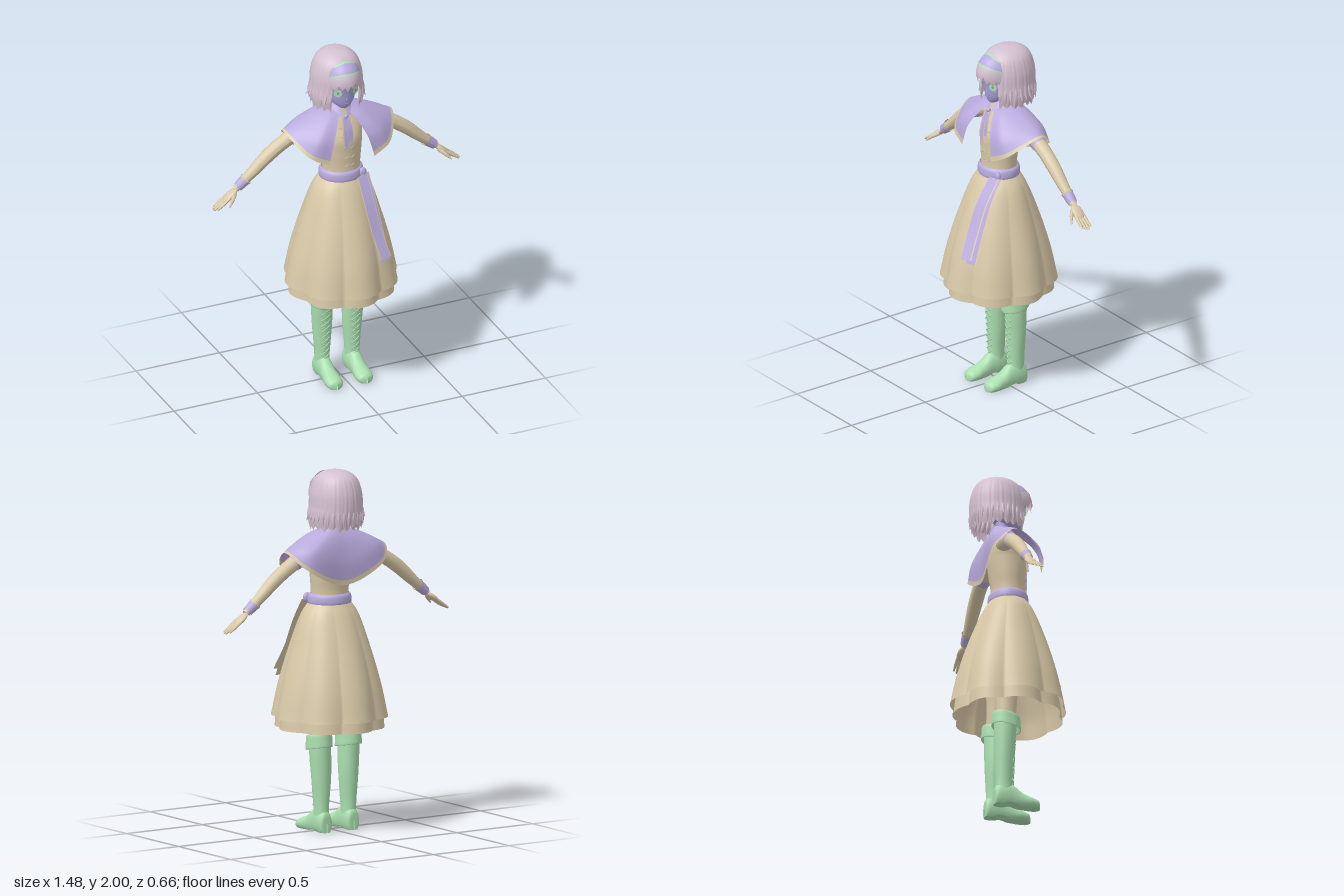
import * as THREE from 'three';
import { ParametricGeometry } from 'three/addons/geometries/ParametricGeometry.js';

const mat = (name, color) => new THREE.MeshStandardMaterial({ name, color, side: THREE.DoubleSide });
const V = (x, y, z) => new THREE.Vector3(x, y, z);
const spline = (pts) => new THREE.CatmullRomCurve3(pts);

export function createModel() {
  const model = new THREE.Group();
  const cloth = mat('tan cloth', 0xd9c9a8);
  const violet = mat('violet cloth', 0xb9abdd);
  const skin = mat('face violet', 0xaba2da);
  const hairMat = mat('pale pink hair', 0xd5c1d1);
  const green = mat('soft green', 0xabdfb0);
  const eyeDark = mat('dark green pupil', 0x6fa678);

  const add = (name, geo, material) => {
    const m = new THREE.Mesh(geo, material);
    m.name = name;
    model.add(m);
    return m;
  };
  const surface = (fn, nu, nv) =>
    new ParametricGeometry((u, v, t) => t.copy(fn(u, v)), nu, nv);

  // rings [y, rx, rz, cx, cz] joined smoothly; angle 0 faces the front
  const loft = (rings, nu = 32, nv = 24, mod = () => 1, gap = 0) => {
    const size = spline(rings.map((r) => V(r[1], r[0], r[2])));
    const mid = spline(rings.map((r) => V(r[3] || 0, r[0], r[4] || 0)));
    return surface((u, v) => {
      const a = gap + u * (2 * Math.PI - 2 * gap);
      const s = size.getPoint(v), c = mid.getPoint(v), k = mod(a, v);
      return V(c.x + s.x * k * Math.sin(a), s.y, c.z + s.z * k * Math.cos(a));
    }, nu, nv);
  };

  // lowers the front and lifts the back
  const slant = (geo, k, z0) => {
    const p = geo.attributes.position;
    for (let i = 0; i < p.count; i++) p.setY(i, p.getY(i) - k * (p.getZ(i) - z0));
    geo.computeVertexNormals();
    return geo;
  };

  // round tube with a radius that changes along the path
  const limb = (pts, radii, n = 16, sides = 10) => {
    const path = spline(pts);
    const geo = new THREE.TubeGeometry(path, n, 1, sides, false);
    const p = geo.attributes.position, rad = spline(radii.map((r, i) => V(i, r, 0)));
    for (let i = 0; i < p.count; i++) {
      const t = Math.floor(i / (sides + 1)) / n, c = path.getPointAt(t);
      const v = V().fromBufferAttribute(p, i).sub(c).multiplyScalar(rad.getPoint(t).y).add(c);
      p.setXYZ(i, v.x, v.y, v.z);
    }
    geo.computeVertexNormals();
    return geo;
  };

  // flat band following a path, with a wider tan edging just behind it
  const ribbon = (name, pts, w, tilt = 0) => {
    const path = spline(pts);
    const strip = (hw, dz) => surface((u, v) => {
      const c = path.getPoint(v), s = (u - 0.5) * 2 * hw;
      return V(c.x + s, c.y + s * 0.1, c.z + dz + s * tilt);
    }, 4, 20);
    add(name, strip(w, 0), violet);
    add(name + 'Edging', strip(w + 0.005, -0.004), cloth);
  };

  // dress body and skirt layers
  add('bodice', loft([[1.22, 0.11, 0.1], [1.32, 0.108, 0.092], [1.42, 0.118, 0.1, 0, -0.005],
    [1.5, 0.124, 0.105, 0, -0.01], [1.57, 0.13, 0.088, 0, -0.025], [1.63, 0.09, 0.062, 0, -0.03],
    [1.67, 0.045, 0.045, 0, -0.03]]), cloth);
  const pleats = (a, v) => 1 - 0.085 * (1 - Math.abs(Math.cos(4 * a))) * v;
  add('skirt', loft([[1.27, 0.112, 0.1], [1.2, 0.162, 0.142], [1.0, 0.23, 0.225],
    [0.8, 0.286, 0.288], [0.63, 0.322, 0.325]], 128, 24, pleats), cloth);
  add('underskirt', loft([[0.8, 0.262, 0.262], [0.68, 0.29, 0.292], [0.57, 0.302, 0.306]],
    128, 8, (a) => pleats(a, 1)), cloth);
  for (const y of [1.35, 1.4, 1.46, 1.525, 1.57]) {
    const z = y > 1.55 ? 0.07 : 0.096;
    add('bodiceTie', new THREE.TubeGeometry(spline([V(-0.04, y + 0.006, z - 0.006), V(-0.018, y - 0.004, z),
      V(0, y + 0.004, z + 0.001), V(0.018, y - 0.004, z), V(0.04, y + 0.006, z - 0.006)]), 16, 0.0022, 5), cloth);
  }

  // sash, knot and hanging tails
  add('sash', loft([[1.25, 0.118, 0.106], [1.262, 0.124, 0.111], [1.3, 0.121, 0.107], [1.312, 0.11, 0.097]],
    40, 10), violet);
  const knot = add('sashKnot', new THREE.SphereGeometry(0.026, 14, 10), violet);
  knot.scale.set(0.9, 1.1, 0.6);
  knot.position.set(0.095, 1.28, 0.08);
  ribbon('sashTailFront', [V(0.085, 1.27, 0.1), V(0.088, 1.14, 0.185), V(0.102, 0.99, 0.255), V(0.127, 0.855, 0.322)], 0.029, -0.35);
  ribbon('sashTailBack', [V(0.1, 1.27, 0.09), V(0.108, 1.15, 0.163), V(0.12, 0.99, 0.23), V(0.134, 0.825, 0.293)], 0.028, -0.35);

  // shoulder cape: half rings from front opening to centre back, mirrored
  const fullRing = (half) => spline([...half.map((p) => V(...p)),
    ...half.slice(0, -1).reverse().map(([x, y, z]) => V(-x, y, z))]);
  const capeRings = [
    [[0.02, 1.665, 0.03], [0.05, 1.675, 0.01], [0.065, 1.68, -0.03], [0.045, 1.685, -0.08], [0, 1.685, -0.095]],
    [[0.055, 1.62, 0.085], [0.11, 1.635, 0.06], [0.155, 1.648, -0.04], [0.115, 1.64, -0.112], [0, 1.62, -0.13]],
    [[0.1, 1.53, 0.135], [0.185, 1.55, 0.115], [0.258, 1.6, -0.045], [0.213, 1.568, -0.143], [0, 1.5, -0.153]],
    [[0.135, 1.405, 0.15], [0.24, 1.46, 0.125], [0.325, 1.565, -0.05], [0.262, 1.483, -0.15], [0, 1.37, -0.15]],
  ].map(fullRing);
  const cape = (v0, v1, nv) => surface((u, v) =>
    spline(capeRings.map((r) => r.getPoint(u))).getPoint(v0 + (v1 - v0) * v), 72, nv);
  add('cape', cape(0, 0.93, 16), violet);
  add('capeTrim', cape(0.93, 1, 2), cloth);

  // collar and neck ribbon
  add('neck', new THREE.CylinderGeometry(0.04, 0.045, 0.1, 20).translate(0, 1.69, -0.03), skin);
  add('collar', slant(loft([[1.7, 0.046, 0.05, 0, -0.03], [1.696, 0.056, 0.058, 0, -0.028],
    [1.657, 0.078, 0.085, 0, -0.02]], 36, 6, () => 1, 0.2), 0.2, -0.03), violet);
  const bow = add('neckKnot', new THREE.SphereGeometry(0.013, 12, 8), violet);
  bow.position.set(0, 1.643, 0.07);
  ribbon('neckRibbonLong', [V(-0.005, 1.64, 0.075), V(-0.012, 1.56, 0.1), V(-0.01, 1.465, 0.112)], 0.013);
  ribbon('neckRibbonShort', [V(0.008, 1.64, 0.07), V(0.014, 1.58, 0.094), V(0.015, 1.5, 0.105)], 0.012);

  // head with tapered chin
  add('face', loft([[1.682, 0.004, 0.004, 0, 0.045], [1.695, 0.03, 0.032, 0, 0.035], [1.73, 0.065, 0.07, 0, 0.01],
    [1.79, 0.088, 0.098, 0, -0.01], [1.86, 0.096, 0.108, 0, -0.01], [1.92, 0.08, 0.09, 0, -0.01],
    [1.96, 0.01, 0.01, 0, -0.01]], 40, 30), skin);
  const nose = add('nose', new THREE.ConeGeometry(0.006, 0.025, 8), skin);
  nose.position.set(0, 1.765, 0.083);
  add('mouth', new THREE.TubeGeometry(spline([V(-0.012, 1.727, 0.077), V(0, 1.724, 0.08), V(0.012, 1.727, 0.077)]), 8, 0.0015, 5), skin);
  for (const s of [-1, 1]) {
    const eye = (name, r, z, m) => {
      const e = add(name, new THREE.CircleGeometry(r, 24), m);
      e.position.set(s * 0.053, 1.8, z);
      e.rotation.y = s * 0.5;
    };
    eye('eye', 0.023, 0.079, green);
    eye('pupil', 0.007, 0.081, eyeDark);
  }

  // fringe and headband lie on one front dome
  const dome = (yTop, yLow, grow, nu, nv) => surface((u, v) => {
    const a = (u - 0.5) * 2.5;
    const y0 = yTop - 0.022 * a * a, y1 = yLow(u) - 0.022 * a * a;
    const y = y0 + (y1 - y0) * v;
    const r = Math.sqrt(Math.max(0, 1 - ((y - 1.86) / 0.128) ** 2)) * grow;
    return V(0.104 * r * Math.sin(a), y, 0.135 * r * Math.cos(a));
  }, nu, nv);
  add('headband', dome(1.975, () => 1.925, 1.0, 28, 8), violet);
  add('headbandTopEdge', dome(1.979, () => 1.972, 1.03, 28, 2), green);
  add('headbandLowEdge', dome(1.93, () => 1.922, 1.02, 28, 2), green);
  const zigzag = (t) => Math.abs(((t % 1) + 1) % 1 - 0.5) * 2;
  add('fringe', dome(1.925, (u) => 1.82 + 0.03 * zigzag(u * 8) + 0.022 * zigzag(u * 3 + 0.2), 1.0, 72, 10), hairMat);

  // scalp and bobbed hair, open around the face
  const scalp = add('scalp', new THREE.SphereGeometry(1, 32, 20), hairMat);
  scalp.scale.set(0.115, 0.117, 0.115);
  scalp.position.set(0, 1.872, -0.045);
  const hairSize = spline([V(0.001, 2, 0.001), V(0.07, 1.986, 0.08), V(0.113, 1.95, 0.125),
    V(0.138, 1.88, 0.15), V(0.145, 1.8, 0.155), V(0.15, 1.74, 0.15), V(0.142, 1.69, 0.14)]);
  add('hair', surface((u, v) => {
    const gap = 0.6 * THREE.MathUtils.smoothstep(v, 0.16, 0.36);
    const a = gap + u * 2 * (Math.PI - gap), s = hairSize.getPoint(v);
    const k = 1 + 0.008 * v * Math.cos(26 * a) + 0.006 * v * Math.cos(41 * a);
    const drop = v ** 5 * (0.025 * zigzag(u * 17) + 0.012 * zigzag(u * 7) - 0.015);
    return V(s.x * k * Math.sin(a), s.y - drop, -0.06 + s.z * k * Math.cos(a));
  }, 160, 28), hairMat);
  let seed = 7;
  const rnd = () => (seed = (seed * 16807) % 2147483647) / 2147483647;
  for (let i = 0; i < 26; i++) {
    const a = 0.66 + (i / 25) * (2 * Math.PI - 1.32), side = Math.abs(Math.sin(a));
    const at = (r, y) => V(r * Math.sin(a), y, -0.06 + r * 1.02 * Math.cos(a));
    const out = side * rnd();
    add('hairLock', limb([at(0.137, 1.82), at(0.145, 1.76), at(0.137 + 0.035 * out, 1.675 + 0.02 * rnd() + 0.05 * out)],
      [0.003, 0.011, 0.001], 8, 6), hairMat);
  }

  for (const s of [-1, 1]) {
    // arms, sleeve bands and wrist cuffs
    const P = (x, y, z) => V(s * x, y, z);
    add('arm', limb([P(0.1, 1.57, -0.055), P(0.2, 1.545, -0.06), P(0.31, 1.49, -0.065), P(0.41, 1.422, -0.065),
      P(0.5, 1.343, -0.065), P(0.6, 1.26, -0.065)], [0.045, 0.043, 0.04, 0.038, 0.031, 0.02], 24, 16), cloth);
    add('sleeveBand', limb([P(0.25, 1.522, -0.063), P(0.285, 1.503, -0.064)], [0.045, 0.044], 3, 16), violet);
    add('wristCuff', limb([P(0.548, 1.302, -0.065), P(0.59, 1.268, -0.065)], [0.031, 0.027], 4, 16), violet);
    add('cuffFrill', limb([P(0.538, 1.31, -0.065), P(0.55, 1.3, -0.065)], [0.035, 0.03], 3, 16), cloth);

    // hand
    const palm = add('palm', new THREE.SphereGeometry(1, 16, 12), cloth);
    palm.scale.set(0.052, 0.016, 0.033);
    palm.position.set(s * 0.635, 1.23, -0.065);
    palm.rotation.z = -s * 0.64;
    for (let i = 0; i < 4; i++) {
      const o = i - 1.5, reach = 0.012 * Math.abs(o);
      add('finger', limb([P(0.645, 1.222, -0.065 + o * 0.015), P(0.695, 1.187, -0.063 + o * 0.017),
        P(0.742 - reach, 1.159 + reach * 0.5, -0.062 + o * 0.018)], [0.009, 0.009, 0.005], 8, 8), cloth);
    }
    add('thumb', limb([P(0.61, 1.24, -0.05), P(0.64, 1.215, -0.02), P(0.668, 1.188, 0)], [0.012, 0.01, 0.004], 8, 8), cloth);

    // leg
    add('leg', loft([[1.15, 0.07, 0.085, s * 0.06, -0.01], [0.9, 0.075, 0.08, s * 0.075, -0.02],
      [0.65, 0.056, 0.06, s * 0.086, -0.035], [0.48, 0.05, 0.054, s * 0.092, -0.042]], 20, 14), cloth);

    // boot shaft, slanted cuff and foot
    const bx = s * 0.09;
    add('bootShaft', loft([[0.05, 0.041, 0.048, bx, -0.05], [0.13, 0.041, 0.047, bx, -0.05], [0.3, 0.055, 0.054, bx, -0.05],
      [0.42, 0.06, 0.06, s * 0.093, -0.046], [0.52, 0.06, 0.064, s * 0.096, -0.043]], 24, 20), green);
    const cx = s * 0.097, cz = -0.04;
    add('bootCuff', slant(loft([[0.5, 0.06, 0.066, cx, cz], [0.462, 0.07, 0.081, cx, cz], [0.5, 0.069, 0.08, cx, cz],
      [0.54, 0.065, 0.075, cx, cz], [0.535, 0.052, 0.06, cx, cz]], 28, 16), 0.18, cz), green);
    const footPath = spline([V(0.002, 0.05, -0.108), V(0.037, 0.11, -0.1), V(0.044, 0.14, -0.05), V(0.042, 0.125, 0),
      V(0.044, 0.085, 0.05), V(0.049, 0.064, 0.1), V(0.04, 0.05, 0.138), V(0.002, 0.03, 0.155)]);
    add('foot', surface((u, v) => {
      const p = footPath.getPoint(v), a = u * 2 * Math.PI;
      const arch = 0.012 * Math.exp(-(((p.z + 0.015) / 0.03) ** 2));
      return V(bx + p.x * Math.cos(a), Math.max(arch, p.y * (0.42 + 0.58 * Math.sin(a))), p.z);
    }, 24, 28), green);

    // criss-cross boot laces
    for (let i = 0; i < 10; i++) {
      const y = 0.11 + 0.036 * i, z = 0.001 + 0.0014 * i, w = 0.022 + 0.0008 * i;
      for (const d of [-1, 1]) {
        add('bootLace', new THREE.TubeGeometry(spline([V(bx - d * w, y, z - 0.006), V(bx, y + 0.018, z + 0.001),
          V(bx + d * w, y + 0.036, z - 0.006)]), 6, 0.0035, 5), green);
      }
    }
  }
  return model;
}
